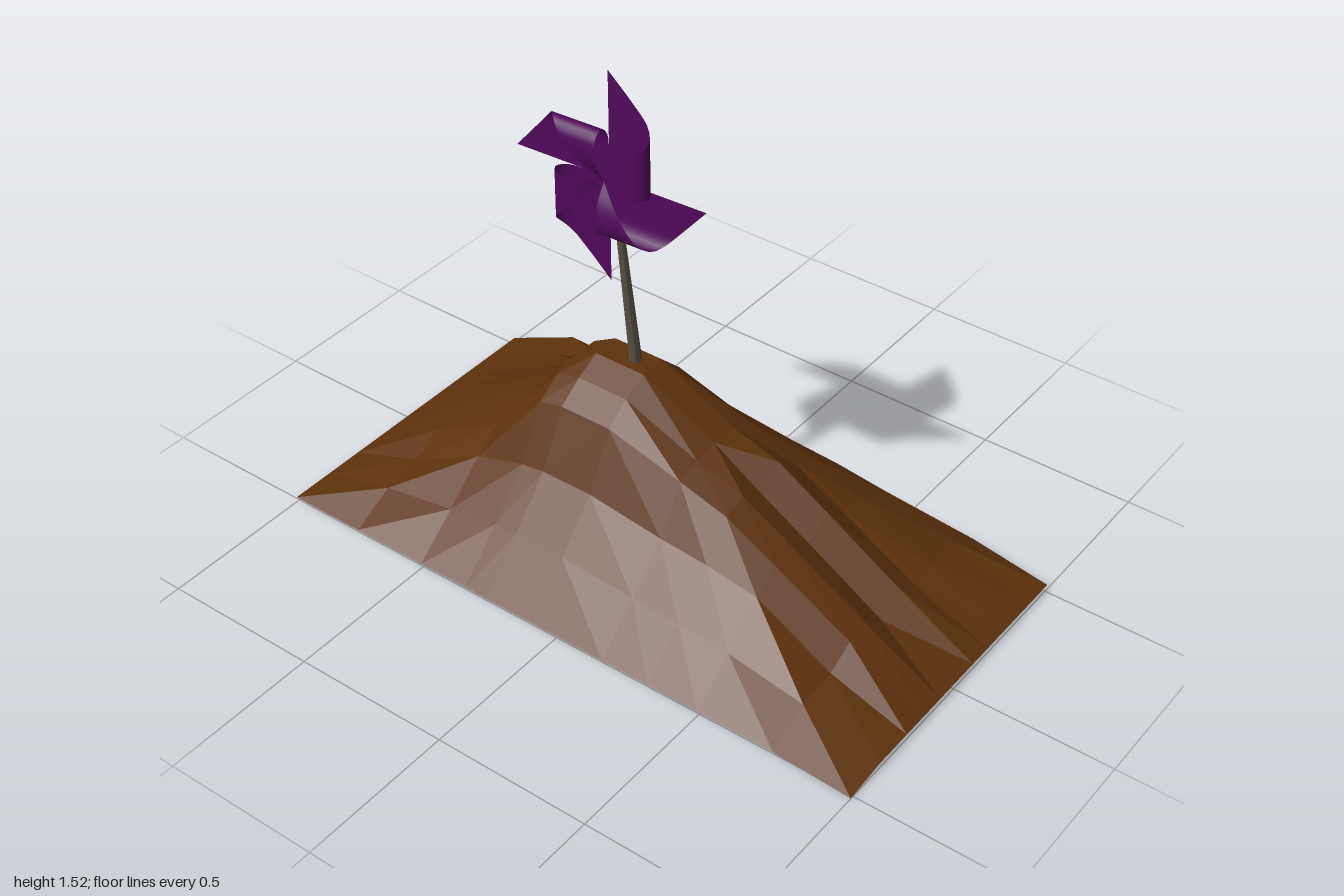
import * as THREE from 'three';

const BROWN = 0x5e320c, PURPLE = 0x50085a, WOOD = 0x5a5145;

// Hill profile along x: [x, ridge height, height of the upright rim at the back]
const ALONG_X = [[-1, 0.017, 0.017], [-0.75, 0.18, 0.13], [-0.5, 0.34, 0.12], [-0.33, 0.54, 0.07],
  [-0.25, 0.585, 0.05], [-0.08, 0.585, 0.04], [0.17, 0.46, 0.04], [0.33, 0.41, 0.05],
  [0.5, 0.31, 0.07], [0.75, 0.16, 0.06], [1, 0.015, 0.017]];
// Hill profile along z: [z, ridge height]; the first two rows form the rim at the back
const ALONG_Z = [[-0.51, 0.017], [-0.51, 0.14], [-0.41, 0.24], [-0.27, 0.37], [-0.18, 0.51], [-0.1, 0.585],
  [-0.01, 0.585], [0.07, 0.545], [0.15, 0.49], [0.24, 0.31], [0.37, 0.165], [0.51, 0.017]];
const PEAK = 0.585;

function hillHeight(i, j) {
  const [x, px, rim] = ALONG_X[i], [z, pz] = ALONG_Z[j];
  if (x === 1 && z === 0.51) return 0;
  if (Math.abs(x) === 1 || pz < 0.02) return 0.017;
  if (j === 1) return rim;
  // Halfway between a sharp pyramid and a rounded mound
  let y = 0.5 * Math.min(px, pz) + 0.5 * px * pz / PEAK;
  // Low front corners
  if (Math.abs(x) === 0.75 && z > 0.2) y *= 0.8;
  // Two gullies running down the right-hand slope
  if (x > 0.3 && z === -0.01) y -= 0.05;
  if (x > 0.3 && z === -0.18) y -= 0.03;
  return y;
}

// Faceted heightfield, open underneath
function makeHill() {
  const pos = [], index = [], rows = ALONG_Z.length;
  ALONG_X.forEach(([x], i) => ALONG_Z.forEach(([z], j) => pos.push(x, hillHeight(i, j), z)));
  for (let i = 0; i < ALONG_X.length - 1; i++) {
    for (let j = 0; j < rows - 1; j++) {
      const a = i * rows + j, b = a + 1, c = a + rows, d = c + 1;
      // Diagonals run outward from the summit
      const outward = (ALONG_X[i][0] + 0.2) * (ALONG_Z[j][0] + 0.06) >= 0;
      if (outward) index.push(a, b, d, a, d, c);
      else index.push(a, b, c, b, d, c);
    }
  }
  const geo = new THREE.BufferGeometry();
  geo.setAttribute('position', new THREE.Float32BufferAttribute(pos, 3));
  geo.setIndex(index);
  geo.computeVertexNormals();
  const mesh = new THREE.Mesh(geo, new THREE.MeshStandardMaterial({
    color: BROWN, flatShading: true, side: THREE.DoubleSide }));
  mesh.name = 'hill';
  return mesh;
}

// Tapered stick between two points
function makeStick(from, to, rBottom, rTop) {
  const dir = to.clone().sub(from);
  const mesh = new THREE.Mesh(new THREE.CylinderGeometry(rTop, rBottom, dir.length(), 8),
    new THREE.MeshStandardMaterial({ color: WOOD, flatShading: true }));
  mesh.position.copy(from).add(to).multiplyScalar(0.5);
  mesh.quaternion.setFromUnitVectors(new THREE.Vector3(0, 1, 0), dir.normalize());
  mesh.name = 'stick';
  return mesh;
}

// Triangular paper sheet whose free corner is curled forward to the hub
function makeBladeGeometry() {
  const size = 0.325, nu = 24, nv = 6;
  const curl = new THREE.CatmullRomCurve3([
    [0, 0], [0.08, 0], [0.135, 0.006], [0.16, 0.03], [0.14, 0.06], [0.07, 0.06], [0, 0.025],
  ].map(([x, z]) => new THREE.Vector3(x, 0, z)));
  const pos = [], index = [];
  for (let i = 0; i <= nu; i++) {
    const p = curl.getPointAt(i / nu);
    for (let j = 0; j <= nv; j++) pos.push(p.x, size * (1 - i / nu) * j / nv, p.z);
  }
  for (let i = 0; i < nu; i++) {
    for (let j = 0; j < nv; j++) {
      const a = i * (nv + 1) + j, c = a + nv + 1;
      index.push(a, c, a + 1);
      if (i < nu - 1) index.push(c, c + 1, a + 1);
    }
  }
  const geo = new THREE.BufferGeometry();
  geo.setAttribute('position', new THREE.Float32BufferAttribute(pos, 3));
  geo.setIndex(index);
  geo.computeVertexNormals();
  return geo;
}

function makePinwheel() {
  const wheel = new THREE.Group();
  wheel.name = 'pinwheel';
  const geo = makeBladeGeometry();
  const mat = new THREE.MeshStandardMaterial({ color: PURPLE, side: THREE.DoubleSide });
  for (let k = 0; k < 4; k++) {
    const blade = new THREE.Mesh(geo, mat);
    blade.rotation.z = -k * Math.PI / 2;
    blade.name = 'blade' + (k + 1);
    wheel.add(blade);
  }
  wheel.position.set(-0.195, 1.197, -0.015);
  wheel.rotation.set(-0.045, 0, 0.04);
  return wheel;
}

export function createModel() {
  const model = new THREE.Group();
  model.name = 'pinwheelOnHill';
  model.add(
    makeHill(),
    makeStick(new THREE.Vector3(-0.135, 0.53, -0.055), new THREE.Vector3(-0.193, 1.21, -0.027), 0.019, 0.009),
    makePinwheel(),
  );
  return model;
}
